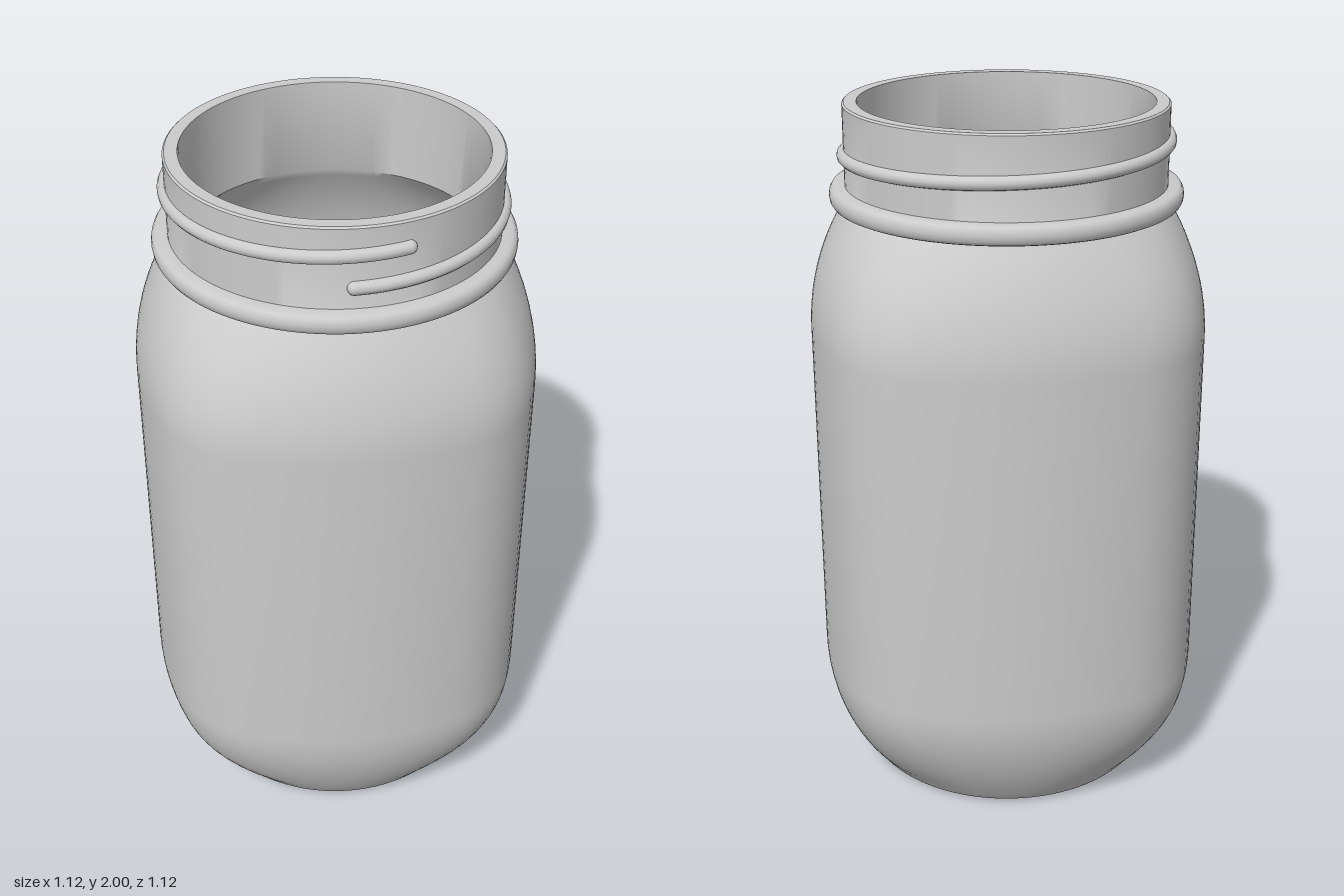
import * as THREE from 'three';
import { toCreasedNormals } from 'three/addons/utils/BufferGeometryUtils.js';

const SIDES = 96;
const NECK = 0.45;
const WALL = 0.04;

// Radius of the rounded square section at an angle: bulging sides joined by corner arcs
function squareRadius(theta) {
  const q = Math.PI / 2;
  const a = Math.abs(((theta + q / 2) % q) - q / 2);
  if (a < 0.568) return -0.34 * Math.cos(a) + Math.sqrt(0.81 - 0.1156 * Math.sin(a) ** 2);
  const b = q / 2 - a;
  return 0.295 * Math.cos(b) + Math.sqrt(0.313 ** 2 - (0.295 * Math.sin(b)) ** 2);
}

// Skin closed loops; each row is a height, a round radius, a squareness 0..1 and an inset
function skin(rows) {
  const pos = [], index = [];
  rows.forEach(({ y, r, square = 0, inset = 0 }) => {
    for (let j = 0; j < SIDES; j++) {
      const t = (j / SIDES) * Math.PI * 2;
      const rad = r + (squareRadius(t) - r) * square - inset;
      pos.push(rad * Math.sin(t), y, rad * Math.cos(t));
    }
  });
  for (let i = 0; i < rows.length - 1; i++) {
    for (let j = 0; j < SIDES; j++) {
      const k = (j + 1) % SIDES;
      const a = i * SIDES + j, b = i * SIDES + k, c = a + SIDES, d = b + SIDES;
      if (rows[i].r > 0) index.push(a, b, d);
      if (rows[i + 1].r > 0) index.push(a, d, c);
    }
  }
  const g = new THREE.BufferGeometry();
  g.setAttribute('position', new THREE.Float32BufferAttribute(pos, 3));
  g.setIndex(index);
  return toCreasedNormals(g, 0.6);
}

// Wall rows from base to shoulder, morphing circle -> rounded square -> circle
function wallRows(yBase, inset) {
  const rows = [], n = 14, low = 0.37, high = 1.37, top = 1.73;
  for (let i = 0; i <= n; i++) {
    const t = 1 - i / n;
    rows.push({ y: low - (low - yBase) * t, r: NECK, square: 1 - t * t, inset });
  }
  for (let i = 0; i <= n; i++) {
    const t = i / n;
    rows.push({ y: high + (top - high) * t, r: NECK, square: 1 - t * t, inset });
  }
  return rows;
}

export function createModel() {
  const group = new THREE.Group();
  const material = new THREE.MeshStandardMaterial({ color: 0xcccccc });
  const add = (name, geometry, parent = group) => {
    const mesh = new THREE.Mesh(geometry, material);
    mesh.name = name;
    parent.add(mesh);
    return mesh;
  };

  // Hollow jar: underside, outer wall, neck, rim, inner wall, floor
  const fillet = [];
  for (let i = 0; i < 5; i++) {
    const a = (i / 5) * 1.2;
    fillet.push({ y: 0.04 * (1 - Math.cos(a)), r: 0.405 + 0.04 * Math.sin(a) });
  }
  add('jarBody', skin([
    { y: 0, r: 0 },
    ...fillet,
    ...wallRows(0.035, 0),
    { y: 1.995, r: NECK },
    { y: 2, r: NECK - 0.005 },
    { y: 2, r: NECK - WALL },
    ...wallRows(0.06, WALL).reverse(),
    { y: 0.05, r: 0.4 },
    { y: 0.05, r: 0 },
  ]));

  // Rounded collar below the thread
  const collar = [[0.44, 1.72], [0.477, 1.72], [0.486, 1.724], [0.492, 1.734], [0.494, 1.747],
    [0.492, 1.76], [0.486, 1.77], [0.477, 1.774], [0.44, 1.774]];
  add('neckCollar', toCreasedNormals(
    new THREE.LatheGeometry(collar.map(([r, y]) => new THREE.Vector2(r, y)), SIDES), 0.8));

  // Screw thread: a little more than one rising turn, with rounded ends
  const thread = new THREE.Group();
  thread.name = 'screwThread';
  group.add(thread);
  const points = [];
  for (let i = 0; i <= 72; i++) {
    const a = (i / 72) * (Math.PI * 2 + 0.31);
    points.push(new THREE.Vector3(NECK * Math.sin(a), 1.833 + 0.0143 * a, NECK * Math.cos(a)));
  }
  const bead = 0.019;
  add('threadBead', new THREE.TubeGeometry(new THREE.CatmullRomCurve3(points), 144, bead, 12), thread);
  for (const p of [points[0], points[points.length - 1]]) {
    add('threadEnd', new THREE.SphereGeometry(bead, 16, 12), thread).position.copy(p);
  }

  return group;
}
